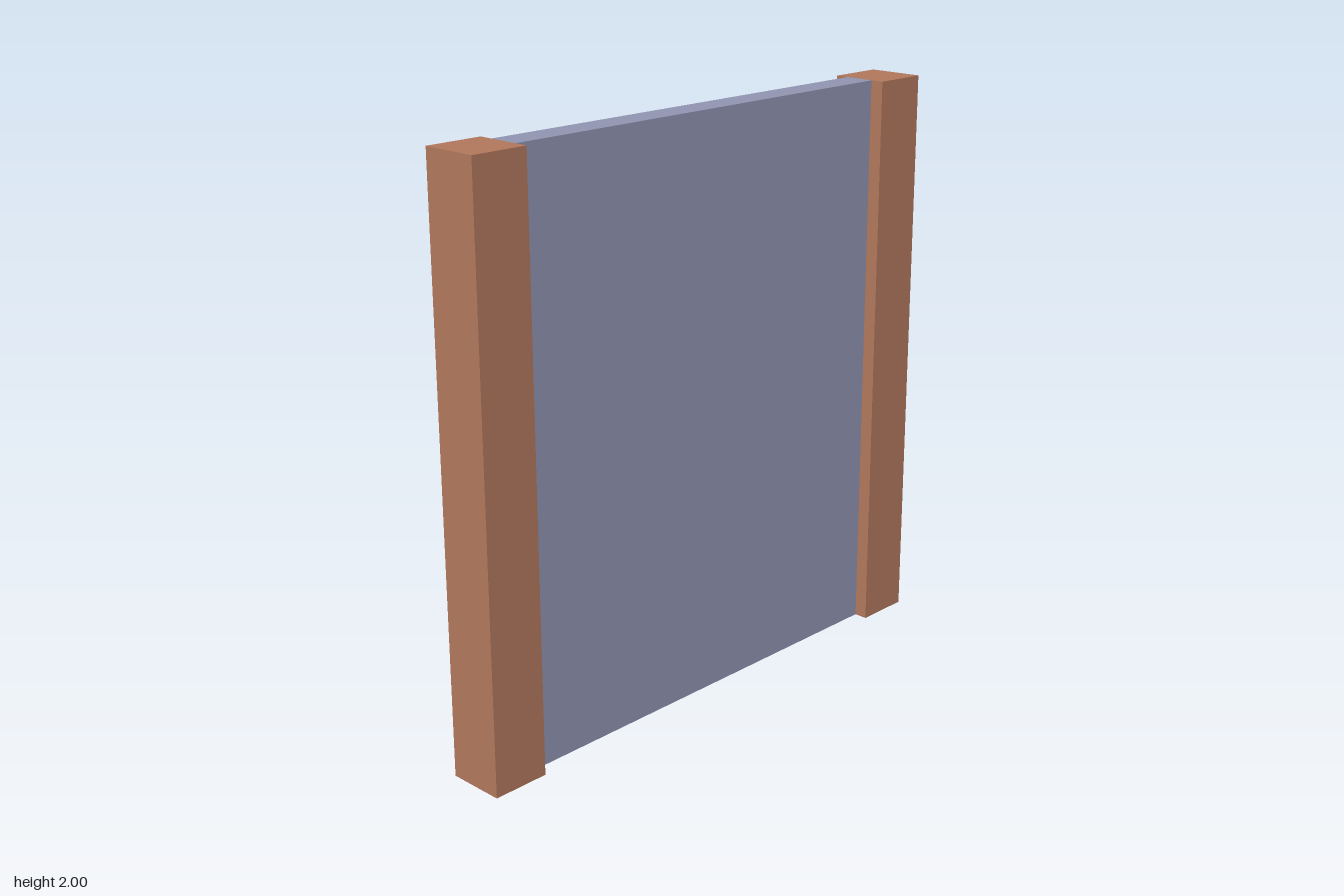
import * as THREE from 'three';

const HEIGHT = 2;
const POST = 0.2;

export function createModel() {
  const model = new THREE.Group();
  model.name = 'wallSection';

  const clay = new THREE.MeshStandardMaterial({ color: 0xb0775c });
  clay.name = 'clay brown';
  const slate = new THREE.MeshStandardMaterial({ color: 0x8f93b0 });
  slate.name = 'slate blue';

  function addBox(name, width, depth, x, material) {
    const mesh = new THREE.Mesh(new THREE.BoxGeometry(width, HEIGHT, depth), material);
    mesh.name = name;
    mesh.position.set(x, HEIGHT / 2, 0);
    model.add(mesh);
  }

  // Square posts at both ends
  for (const side of [-1, 1]) {
    addBox(side > 0 ? 'leftPost' : 'rightPost', POST, POST, side * (1 - POST / 2), clay);
  }

  // Thinner panel filling the space between the posts
  addBox('panel', 2 - 2 * POST, 0.105, 0, slate);

  return model;
}
